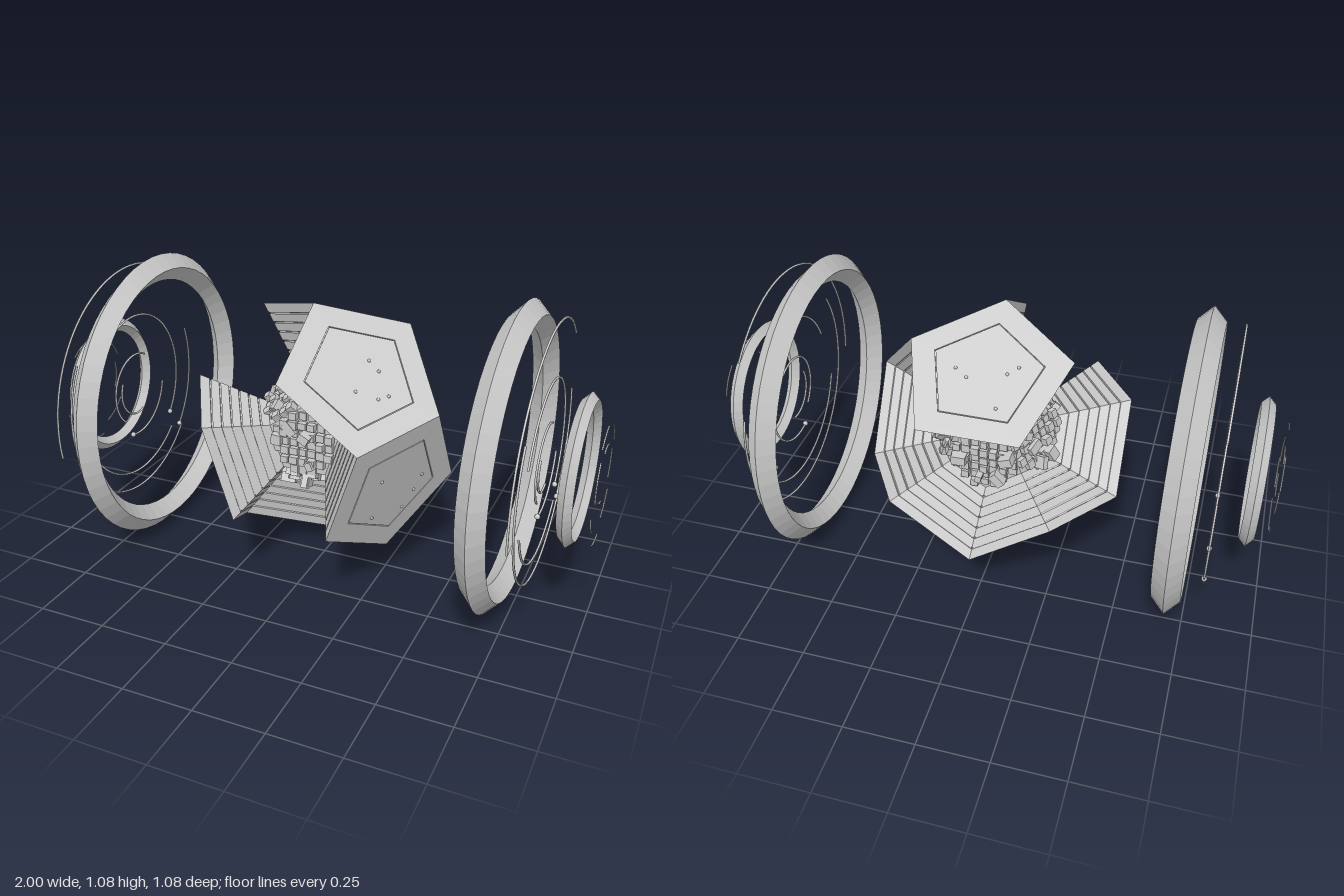
import * as THREE from 'three';

const CENTRE = 0.54;          // height of the axle line
const FACE_R = 0.298;         // corner radius of one pentagon
const FACE_H = 0.39;          // distance from centre to a pentagon
const CORE = 0.46;            // core size relative to the shell
const mat = new THREE.MeshStandardMaterial({ color: 0xcccccc, flatShading: true });
const smoothMat = new THREE.MeshStandardMaterial({ color: 0xcccccc });

let seed = 7;
const rand = () => (seed = (seed * 16807) % 2147483647) / 2147483647;

function add(parent, name, geometry, x = 0, y = 0, z = 0, material = mat) {
  const mesh = new THREE.Mesh(geometry, material);
  mesh.name = name;
  mesh.position.set(x, y, z);
  parent.add(mesh);
  return mesh;
}

// Closed solid through pentagon rings [radius, z], from inside to outside
function pentagonLoft(rings) {
  const pos = [], index = [];
  for (const [r, z] of rings)
    for (let k = 0; k < 5; k++) {
      const a = k * Math.PI * 0.4;
      pos.push(r * Math.cos(a), r * Math.sin(a), z);
    }
  for (let j = 0; j + 1 < rings.length; j++)
    for (let k = 0; k < 5; k++) {
      const a = j * 5 + k, b = j * 5 + (k + 1) % 5;
      index.push(a, b, b + 5, a, b + 5, a + 5);
    }
  const top = (rings.length - 1) * 5;
  for (let k = 1; k < 4; k++) index.push(0, k + 1, k, top, top + k, top + k + 1);
  let g = new THREE.BufferGeometry();
  g.setAttribute('position', new THREE.Float32BufferAttribute(pos, 3));
  g.setIndex(index);
  g = g.toNonIndexed();
  g.computeVertexNormals();
  return g;
}

// Group whose +z points out of a dodecahedron face; side is +1 front, -1 back
function faceFrame(name, side, degrees) {
  const n = new THREE.Vector3(0, 0, side), t = new THREE.Vector3(0, side, 0);
  if (degrees !== null) {
    const a = THREE.MathUtils.degToRad(degrees), c = Math.cos(a), s = Math.sin(a);
    n.set(c * 0.8944, s * 0.8944, side * 0.4472);
    t.set(c * 0.4472, s * 0.4472, -side * 0.8944);
  }
  const frame = new THREE.Group();
  frame.name = name;
  const basis = new THREE.Matrix4().makeBasis(t, n.clone().cross(t), n);
  frame.quaternion.setFromRotationMatrix(basis);
  return frame;
}

// Tapered shell block with grooved sides, an inset panel and rivets
function shellBlock(frame) {
  const rings = [], layers = 7;
  for (let i = 0; i < layers; i++) {
    const a = CORE + (1 - CORE) * i / layers, b = CORE + (1 - CORE) * (i + 1) / layers;
    const last = i === layers - 1, e = last ? b : b - 0.012;
    rings.push([FACE_R * a, FACE_H * a], [FACE_R * e, FACE_H * e]);
    if (!last) rings.push([FACE_R * e - 0.006, FACE_H * e], [FACE_R * b - 0.006, FACE_H * b]);
  }
  // Narrow groove around the face panel
  const p = FACE_R * 0.66;
  rings.push([p + 0.004, FACE_H], [p + 0.004, FACE_H - 0.005], [p, FACE_H - 0.005], [p, FACE_H]);
  add(frame, 'shellBlock', pentagonLoft(rings));
  for (let i = 0; i < 5; i++) {
    const a = rand() * Math.PI * 2, r = 0.06 + rand() * 0.08;
    add(frame, 'rivet', new THREE.SphereGeometry(0.006, 8, 6),
      r * Math.cos(a), r * Math.sin(a), FACE_H, smoothMat);
  }
}

// Uneven tiles and blocks covering an exposed core face
function machinery(frame) {
  const base = FACE_H * CORE, step = 0.034, limit = FACE_R * CORE * 0.84;
  for (let i = -3; i <= 3; i++)
    for (let j = -3; j <= 3; j++) {
      const x = i * step, y = j * step;
      if (Math.hypot(x, y) > limit) continue;
      const h = 0.008 + rand() * 0.022;
      add(frame, 'coreTile', new THREE.BoxGeometry(step * (0.7 + rand() * 0.2),
        step * (0.7 + rand() * 0.2), h), x, y, base + h / 2);
    }
  for (let i = 0; i < 4; i++) {
    const a = rand() * Math.PI * 2, r = 0.04 + rand() * 0.06, h = 0.03 + rand() * 0.03;
    add(frame, 'coreBlock', new THREE.BoxGeometry(0.025 + rand() * 0.03, 0.02 + rand() * 0.02, h),
      r * Math.cos(a), r * Math.sin(a), base + h / 2).rotation.z = a;
  }
}

// Thin arc around the axle; angles run from -z towards +y
function arc(parent, x, radius, from, to, thickness, ball = false) {
  const length = THREE.MathUtils.degToRad(to - from);
  const g = new THREE.TorusGeometry(radius, thickness, 6, Math.ceil(length * 14) + 2, length);
  g.rotateZ(THREE.MathUtils.degToRad(from));
  g.rotateY(Math.PI / 2);
  add(parent, 'arc', g, x, 0, 0, smoothMat);
  if (ball) {
    const a = THREE.MathUtils.degToRad(from);
    add(parent, 'arcEnd', new THREE.SphereGeometry(0.01, 10, 8),
      x, radius * Math.sin(a), -radius * Math.cos(a), smoothMat);
  }
}

// Diamond-section ring around the axle
function ring(parent, name, x, radius, half, segments) {
  const g = new THREE.TorusGeometry(radius, half, 4, segments);
  g.rotateY(Math.PI / 2);
  add(parent, name, g, x);
}

function wheelSet(side) {
  const wheel = new THREE.Group();
  wheel.name = side > 0 ? 'leftWheel' : 'rightWheel';
  ring(wheel, 'largeRing', side * 0.69, 0.49, 0.05, 56);
  ring(wheel, 'smallRing', side * 0.92, 0.237, 0.025, 48);
  // Arcs between the rings: radius, start, end, ball at start
  const inner = [[0.49, 46, 190], [0.413, 148, 318], [0.395, -43, 20, true], [0.343, 200, 312],
    [0.292, -40, 160, true], [0.185, 255, 350, true], [0.14, 60, 230], [0.1, 150, 290]];
  for (const [r, a, b, ball] of inner) arc(wheel, side * 0.805, r, a, b, 0.004, ball);
  // Short outermost arcs
  const outer = [[0.24, 240, 275], [0.2, 200, 232], [0.2, 285, 320], [0.18, 95, 130],
    [0.17, 20, 60], [0.14, 140, 200], [0.14, 330, 375], [0.1, 60, 115], [0.1, 215, 270]];
  for (const [r, a, b] of outer) arc(wheel, side * 0.997, r, a, b, 0.003);
  return wheel;
}

export function createModel() {
  const model = new THREE.Group();
  model.name = 'ringedDodecahedron';
  const axle = new THREE.Group();
  axle.name = 'body';
  axle.position.y = CENTRE;
  model.add(axle);

  // Twelve faces: [front or back, angle, has a shell block]
  const faces = [
    [1, null, false], [1, 54, true], [1, -18, true], [1, -90, false], [1, -162, true], [1, 126, false],
    [-1, null, false], [-1, 90, true], [-1, 18, false], [-1, -54, true], [-1, -126, true], [-1, 162, false],
  ];
  for (const [side, angle, covered] of faces) {
    const frame = faceFrame(covered ? 'shellSegment' : 'openSegment', side, angle);
    add(frame, 'corePlate', pentagonLoft([[FACE_R * 0.02, FACE_H * 0.02],
      [FACE_R * CORE, FACE_H * CORE]]));
    if (covered) shellBlock(frame);
    else machinery(frame);
    axle.add(frame);
  }

  for (const side of [1, -1]) axle.add(wheelSet(side));
  return model;
}
